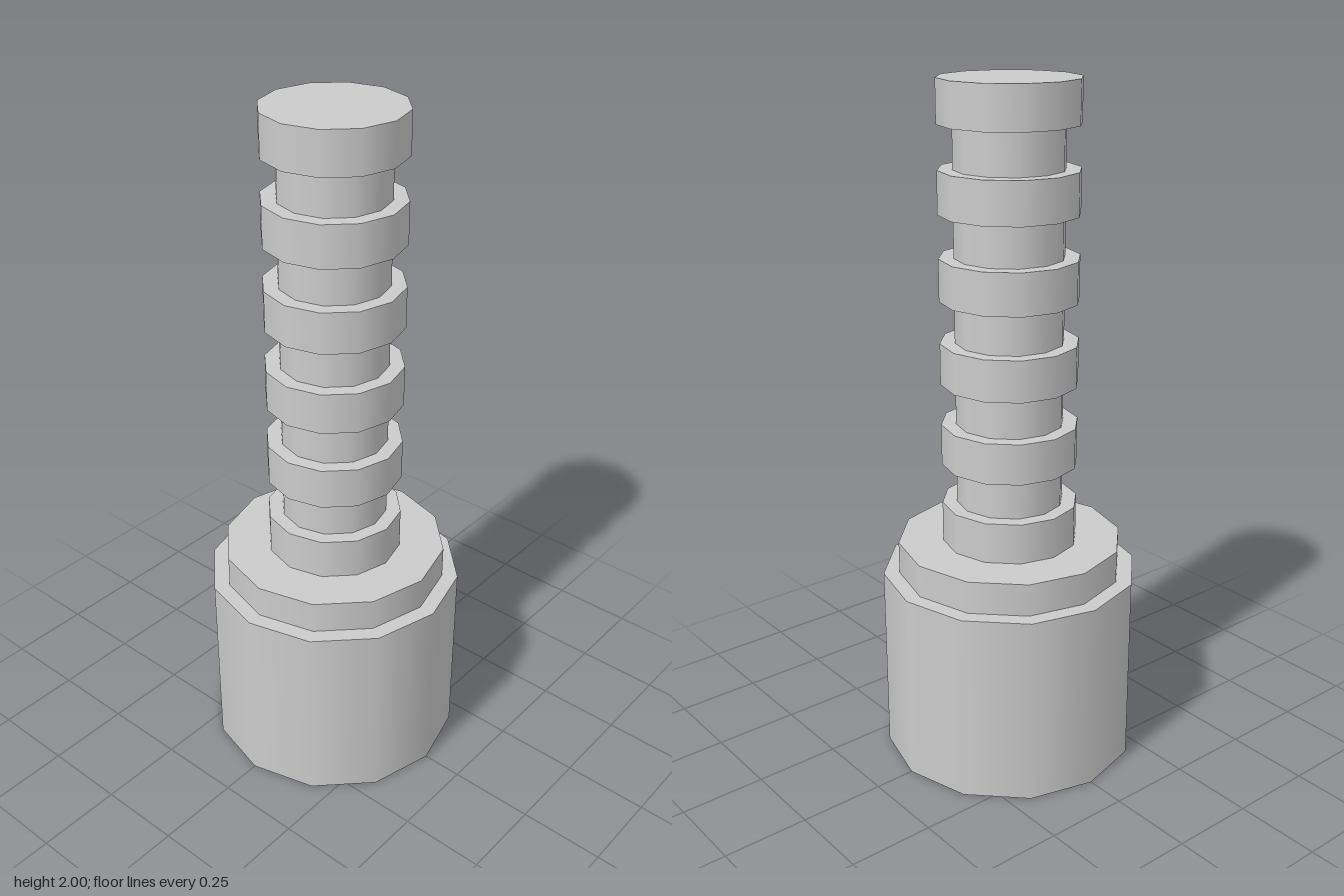
import * as THREE from 'three';

const SIDES = 12;
const BASE_TOP = 0.57, SHOULDER_TOP = 0.667, TOP = 2;
const RINGS = 6;

export function createModel() {
  const model = new THREE.Group();
  const material = new THREE.MeshStandardMaterial({ color: 0xcccccc });

  // Upright twelve-sided cylinder between two heights
  function addCylinder(name, radius, bottom, top, open = false) {
    const geometry = new THREE.CylinderGeometry(radius, radius, top - bottom, SIDES, 1, open);
    const mesh = new THREE.Mesh(geometry, material);
    mesh.name = name;
    mesh.position.y = (bottom + top) / 2;
    model.add(mesh);
  }

  // Wide base and its stepped shoulder
  addCylinder('base', 0.38, 0, BASE_TOP);
  addCylinder('shoulder', 0.333, BASE_TOP, SHOULDER_TOP);

  // Grip: rings alternating with equally tall grooves
  const step = (TOP - SHOULDER_TOP) / (2 * RINGS - 1);
  addCylinder('gripCore', 0.157, SHOULDER_TOP, TOP - step / 2, true);
  for (let i = 0; i < RINGS; i++) {
    const bottom = SHOULDER_TOP + 2 * i * step;
    addCylinder(`gripRing${i + 1}`, 0.2, bottom, bottom + step);
  }

  return model;
}
